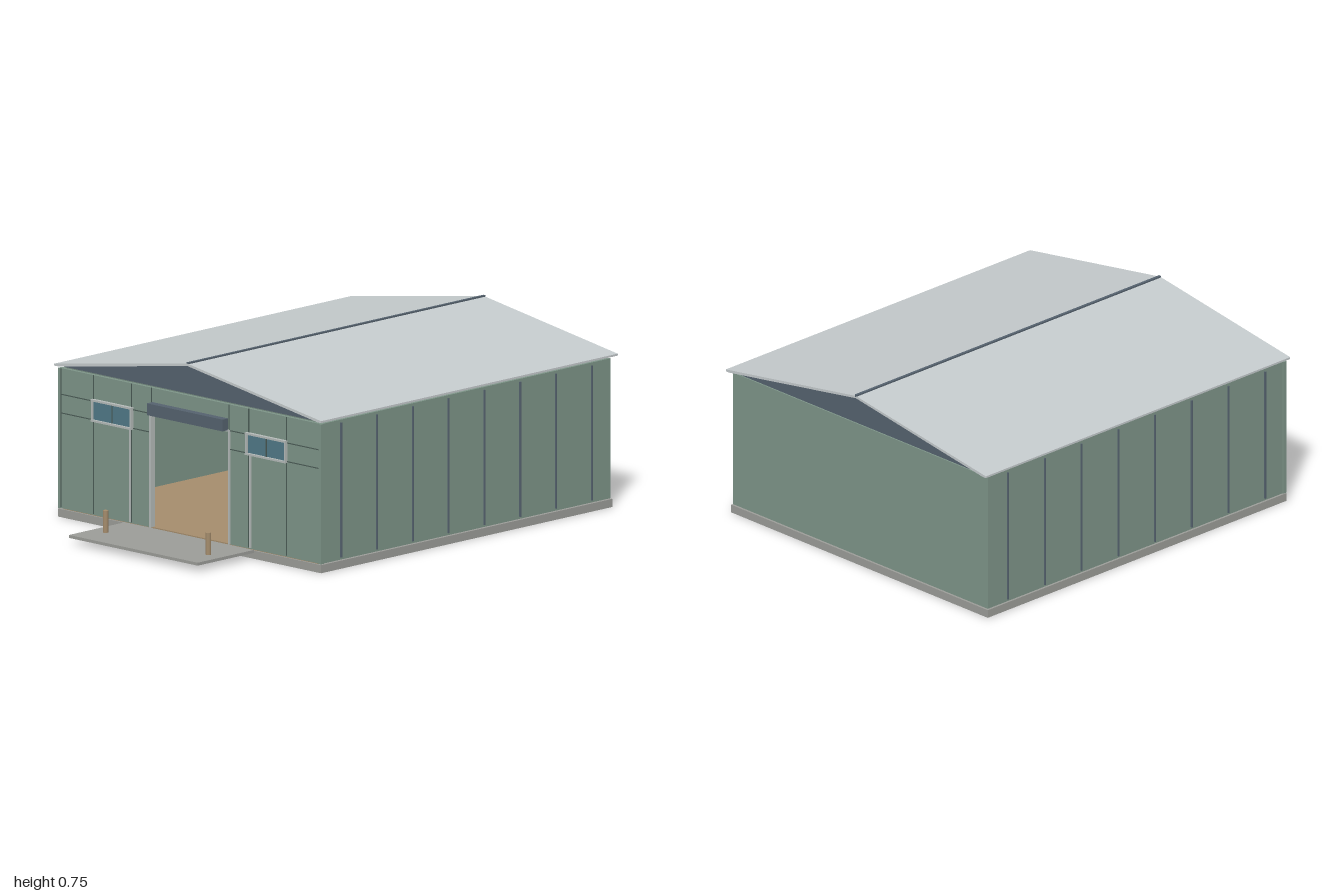
import * as THREE from 'three';

const mat = (color) => new THREE.MeshStandardMaterial({ color });

export function createModel() {
  const model = new THREE.Group();
  const wall = mat(0x7d9488), roofMat = mat(0xc4cacc), dark = mat(0x55626e), concrete = mat(0x9b9c98);
  const trim = mat(0xb4bab8), tan = mat(0xa48c6c), glass = mat(0x4f7886), seam = mat(0x4a5a55);

  // box given by its min and max along each axis
  const box = (name, m, x0, x1, y0, y1, z0, z1) => {
    const mesh = new THREE.Mesh(new THREE.BoxGeometry(x1 - x0, y1 - y0, z1 - z0), m);
    mesh.position.set((x0 + x1) / 2, (y0 + y1) / 2, (z0 + z1) / 2);
    mesh.name = name;
    model.add(mesh);
    return mesh;
  };
  // the same box on both sides of x = 0
  const pair = (name, m, x0, x1, ...rest) => {
    box(name + 'Left', m, x0, x1, ...rest);
    box(name + 'Right', m, -x1, -x0, ...rest);
  };
  // profile in x, y extruded from z0 to z1
  const extrude = (name, m, points, z0, z1) => {
    const shape = new THREE.Shape(points.map(([x, y]) => new THREE.Vector2(x, y)));
    const geo = new THREE.ExtrudeGeometry(shape, { depth: z1 - z0, bevelEnabled: false });
    const mesh = new THREE.Mesh(geo, m);
    mesh.position.z = z0;
    mesh.name = name;
    model.add(mesh);
  };

  // ground works
  box('foundationSlab', concrete, -0.73, 0.73, 0, 0.033, -0.98, 0.68);
  box('interiorFloor', tan, -0.705, 0.705, 0.033, 0.038, -0.955, 0.672);
  box('entranceApron', concrete, -0.357, 0.357, 0.024, 0.036, 0.68, 1);
  for (const s of [1, -1]) {
    const bollard = new THREE.Mesh(new THREE.CylinderGeometry(0.011, 0.011, 0.09, 12), tan);
    bollard.position.set(s * 0.285, 0.081, 0.865);
    bollard.name = 'bollard';
    model.add(bollard);
  }

  // back and side walls
  box('backWall', wall, -0.725, 0.725, 0.036, 0.606, -0.975, -0.96);
  pair('sideWall', wall, 0.71, 0.725, 0.036, 0.606, -0.96, 0.66);
  for (let i = 0; i < 8; i++) {
    const z = 0.563 - i * 0.204;
    pair('sideRib', dark, 0.724, 0.731, 0.045, 0.595, z - 0.003, z + 0.003);
  }

  // front wall with doorway and two window openings
  const front = new THREE.Shape([[-0.725, 0.036], [-0.215, 0.036], [-0.215, 0.5], [0.215, 0.5],
    [0.215, 0.036], [0.725, 0.036], [0.725, 0.606], [-0.725, 0.606]].map(([x, y]) => new THREE.Vector2(x, y)));
  for (const s of [1, -1]) {
    front.holes.push(new THREE.Path([[0.322, 0.425], [0.322, 0.503], [0.533, 0.503], [0.533, 0.425]]
      .map(([x, y]) => new THREE.Vector2(s * x, y))));
  }
  const frontWall = new THREE.Mesh(new THREE.ExtrudeGeometry(front, { depth: 0.015, bevelEnabled: false }), wall);
  frontWall.position.z = 0.66;
  frontWall.name = 'frontWall';
  model.add(frontWall);

  // panel seams and corner trim
  for (const x of [0.325, 0.535]) pair('panelSeamLow', seam, x - 0.002, x + 0.002, 0.04, 0.42, 0.674, 0.677);
  for (const x of [0.325, 0.535]) pair('panelSeamHigh', seam, x - 0.002, x + 0.002, 0.508, 0.606, 0.674, 0.677);
  pair('doorSeam', seam, 0.213, 0.217, 0.5, 0.606, 0.674, 0.677);
  for (const y of [0.424, 0.5]) {
    pair('innerRail', seam, 0.222, 0.32, y - 0.002, y + 0.002, 0.674, 0.677);
    pair('outerRail', seam, 0.537, 0.715, y - 0.002, y + 0.002, 0.674, 0.677);
  }
  pair('panelStrip', trim, 0.329, 0.338, 0.04, 0.42, 0.674, 0.678);
  pair('cornerSeam', seam, 0.714, 0.717, 0.04, 0.606, 0.674, 0.677);
  pair('cornerPost', wall, 0.717, 0.73, 0.036, 0.606, 0.662, 0.68);

  // door frame and canopy
  pair('doorJamb', trim, 0.213, 0.223, 0.036, 0.5, 0.658, 0.68);
  box('doorLintel', trim, -0.223, 0.223, 0.495, 0.503, 0.658, 0.68);
  box('doorCanopy', dark, -0.21, 0.21, 0.5, 0.548, 0.675, 0.707);

  // windows: glass, frame bars and centre mullion
  pair('windowGlass', glass, 0.32, 0.535, 0.424, 0.505, 0.664, 0.68);
  for (const x of [0.32, 0.535]) pair('windowStile', trim, x - 0.004, x + 0.004, 0.421, 0.508, 0.662, 0.688);
  for (const y of [0.423, 0.506]) pair('windowRail', trim, 0.316, 0.539, y - 0.004, y + 0.004, 0.662, 0.69);
  pair('windowMullion', seam, 0.4255, 0.4295, 0.427, 0.502, 0.675, 0.684);

  // roof: dark gable body, pale sheets and ridge cap
  extrude('gableBody', dark, [[-0.725, 0.616], [0.725, 0.616], [0, 0.731]], -0.985, 0.68);
  extrude('roofSheets', roofMat, [[-0.74, 0.615], [-0.72, 0.615], [0, 0.73], [0.72, 0.615], [0.74, 0.615],
    [0.74, 0.623], [0, 0.74], [-0.74, 0.623]], -1, 0.69);
  box('ridgeCap', dark, -0.006, 0.006, 0.734, 0.745, -1, 0.69);

  return model;
}
